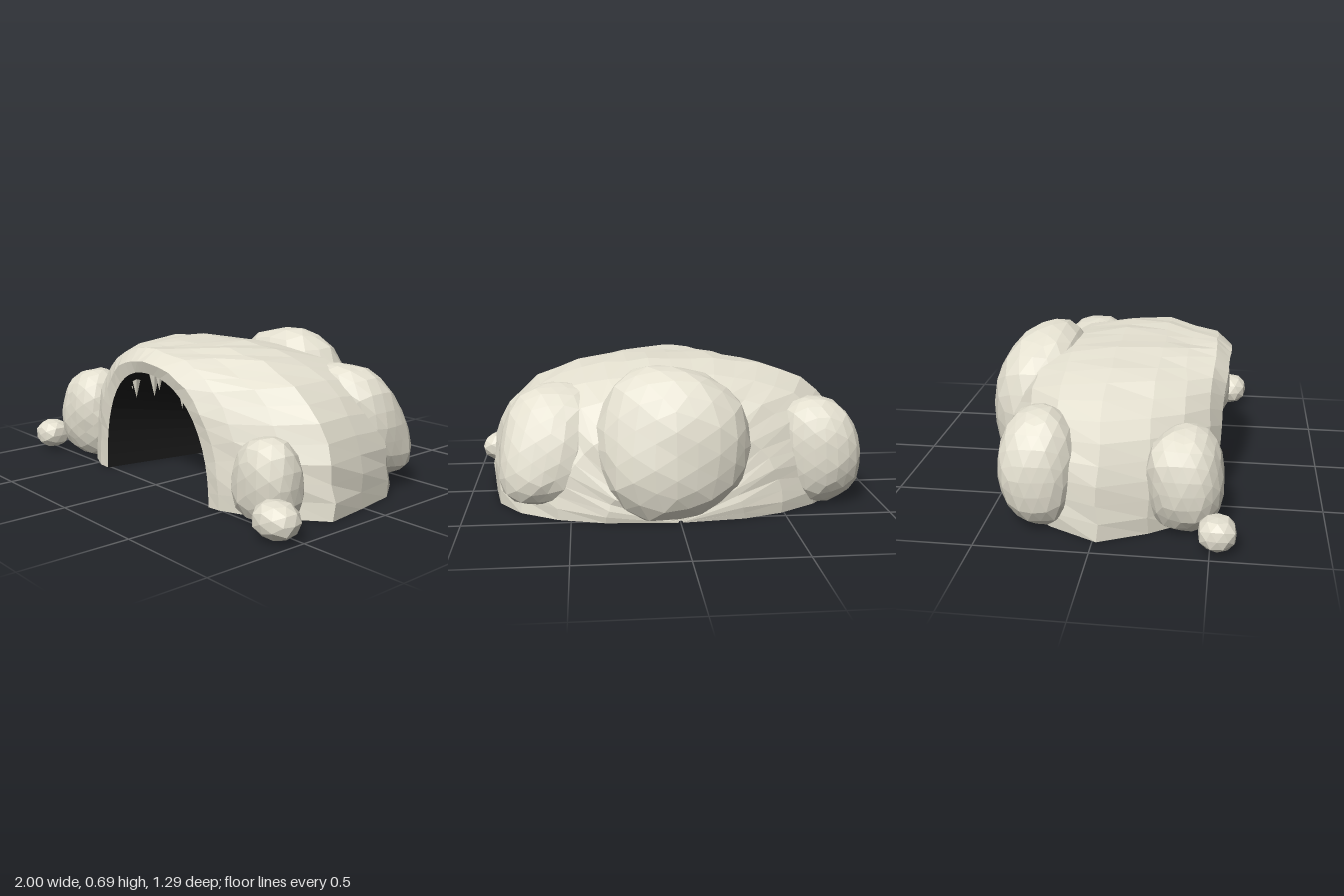
import * as THREE from 'three';

const rock = new THREE.MeshStandardMaterial({ color: 0xe4e0d0, flatShading: true });
rock.name = 'paleRock';
const dark = new THREE.MeshStandardMaterial({ color: 0x1b1b1b, flatShading: true });
dark.name = 'caveDark';

const SEG = 26;

// Repeatable noise in -1..1 from a position
function noise(x, y, z) {
  const s = Math.sin(x * 41.3 + y * 73.7 + z * 57.1) * 4375.85;
  return (s - Math.floor(s)) * 2 - 1;
}

// Arch cross-section from +x over the top to -x
function arch({ z, l, r, h, n = 2.5, bulge = 0, rough = 0 }) {
  const pts = [];
  for (let j = 0; j <= SEG; j++) {
    const a = Math.PI * j / SEG;
    const c = Math.cos(a), s = j === SEG ? 0 : Math.sin(a);
    const k = Math.pow(Math.pow(Math.abs(c), n) + Math.pow(s, n), -1 / n);
    const x = c * k * (c > 0 ? r : l), y = s * k * h;
    const d = 1 + rough * noise(x, y, z);
    pts.push(new THREE.Vector3(x * d, y * d, z - bulge * x * x + rough * 0.7 * noise(y, z, x)));
  }
  return pts;
}

// Skin over a row of arches; inward = true shows the inside
function loft(rings, inward) {
  const pos = rings.flat().flatMap(p => [p.x, p.y, p.z]);
  const idx = [];
  const w = SEG + 1;
  for (let i = 0; i < rings.length - 1; i++) {
    for (let j = 0; j < SEG; j++) {
      const a = i * w + j, b = a + 1, c = a + w, d = c + 1;
      if (inward) idx.push(a, b, c, b, d, c);
      else idx.push(a, c, b, b, c, d);
    }
  }
  const g = new THREE.BufferGeometry();
  g.setAttribute('position', new THREE.Float32BufferAttribute(pos, 3));
  g.setIndex(idx);
  g.computeVertexNormals();
  return g;
}

// Lumpy boulder, slightly squared, flattened on the ground
function boulder([cx, cy, cz], [rx, ry, rz], detail, leanX = 0, leanZ = 0, square = 2.5) {
  const g = new THREE.IcosahedronGeometry(1, detail);
  const p = g.attributes.position;
  for (let i = 0; i < p.count; i++) {
    const q = [p.getX(i), p.getY(i), p.getZ(i)].map(v => Math.round(v * 1e4) / 1e4);
    const m = Math.pow(q.reduce((t, v) => t + Math.pow(Math.abs(v), square), 0), -1 / square);
    const wave = 0.04 * Math.sin(q[0] * 3 + cx * 9) * Math.cos(q[1] * 3 + q[2] * 2 + cz * 7);
    const k = m * (0.98 + wave + 0.018 * noise(q[0] + cx, q[1], q[2]));
    p.setXYZ(i,
      cx + (q[0] + leanX * q[1]) * k * rx,
      Math.max(0, cy + q[1] * k * ry),
      cz + (q[2] + leanZ * q[1]) * k * rz);
  }
  g.computeVertexNormals();
  return g;
}

export function createModel() {
  const model = new THREE.Group();
  const add = (name, geometry, material = rock) => {
    const m = new THREE.Mesh(geometry, material);
    m.name = name;
    model.add(m);
    return m;
  };

  // Mound: mouth rim, front face, then back over the hill
  const mouth = { z: 0.54, l: 0.39, r: 0.415, h: 0.55, n: 2.25, bulge: 0.16 };
  const rough = 0.012;
  const mound = [
    mouth,
    { z: 0.555, l: 0.46, r: 0.48, h: 0.605, n: 2.3, bulge: 0.2, rough: 0.006 },
    { z: 0.485, l: 0.57, r: 0.58, h: 0.655, n: 2.4, bulge: 0.06, rough: 0.008 },
    { z: 0.36, l: 0.7, r: 0.76, h: 0.655, n: 2.6, rough },
    { z: 0.23, l: 0.81, r: 0.91, h: 0.665, n: 2.75, rough },
    { z: 0.02, l: 0.9, r: 0.88, h: 0.66, n: 2.95, rough },
    { z: -0.2, l: 0.8, r: 0.85, h: 0.625, n: 2.8, rough },
    { z: -0.35, l: 0.66, r: 0.73, h: 0.57, n: 2.5, rough },
    { z: -0.46, l: 0.49, r: 0.56, h: 0.45, n: 2.3, rough },
    { z: -0.53, l: 0.3, r: 0.34, h: 0.25, n: 2, rough },
    { z: -0.55, l: 0.01, r: 0.01, h: 0.01 },
  ].map(arch);
  add('mound', loft(mound, false));

  // Tapering tunnel closed by a back wall
  const tunnel = [
    mouth,
    { z: 0.25, l: 0.34, r: 0.36, h: 0.475, n: 2.25 },
    { z: -0.055, l: 0.28, r: 0.3, h: 0.39, n: 2.25 },
    { z: -0.055, l: 0.002, r: 0.002, h: 0.002 },
  ].map(arch);
  add('tunnel', loft(tunnel, true), dark);

  // Flat underside with the tunnel floor left open
  const flat = p => new THREE.Vector2(p.x, p.z);
  const outline = [
    ...mound.map(r => flat(r[0])),
    ...mound.map(r => flat(r[SEG])).reverse(),
    ...tunnel.slice(1, 3).map(r => flat(r[SEG])),
    ...tunnel.slice(1, 3).map(r => flat(r[0])).reverse(),
  ];
  add('underside', new THREE.ShapeGeometry(new THREE.Shape(outline)).rotateX(Math.PI / 2));

  // Boulders leaning on the mound
  add('backBoulder', boulder([0.025, 0.335, -0.395], [0.365, 0.36, 0.24], 3, 0, 0.22, 2.3));
  add('backLeftBoulder', boulder([0.6, 0.32, -0.265], [0.235, 0.275, 0.195], 3, -0.25, 0.45));
  add('backRightBoulder', boulder([-0.7, 0.255, -0.26], [0.205, 0.265, 0.185], 3, 0.07, 0, 2.3));
  add('frontRightBoulder', boulder([-0.69, 0.22, 0.375], [0.195, 0.24, 0.177], 3, 0, 0, 2.4));
  add('frontLeftBoulder', boulder([0.705, 0.175, 0.425], [0.168, 0.197, 0.13], 2));

  // Loose stones
  add('rightStone', boulder([-0.91, 0.085, 0.53], [0.092, 0.074, 0.084], 1));
  add('leftStone', boulder([0.895, 0.085, 0.555], [0.105, 0.08, 0.09], 1));

  // Stalactites under the mouth: x, top, length, radius
  const spikes = [
    [-0.235, 0.495, 0.07, 0.02], [-0.2, 0.51, 0.12, 0.03], [-0.05, 0.545, 0.125, 0.03],
    [-0.01, 0.545, 0.09, 0.022], [0.165, 0.525, 0.125, 0.028], [0.245, 0.485, 0.08, 0.02],
  ];
  for (const [x, top, len, rad] of spikes) {
    const g = new THREE.ConeGeometry(rad, len, 6).rotateX(Math.PI);
    add('stalactite', g).position.set(x, top - len / 2, 0.46);
  }

  return model;
}
